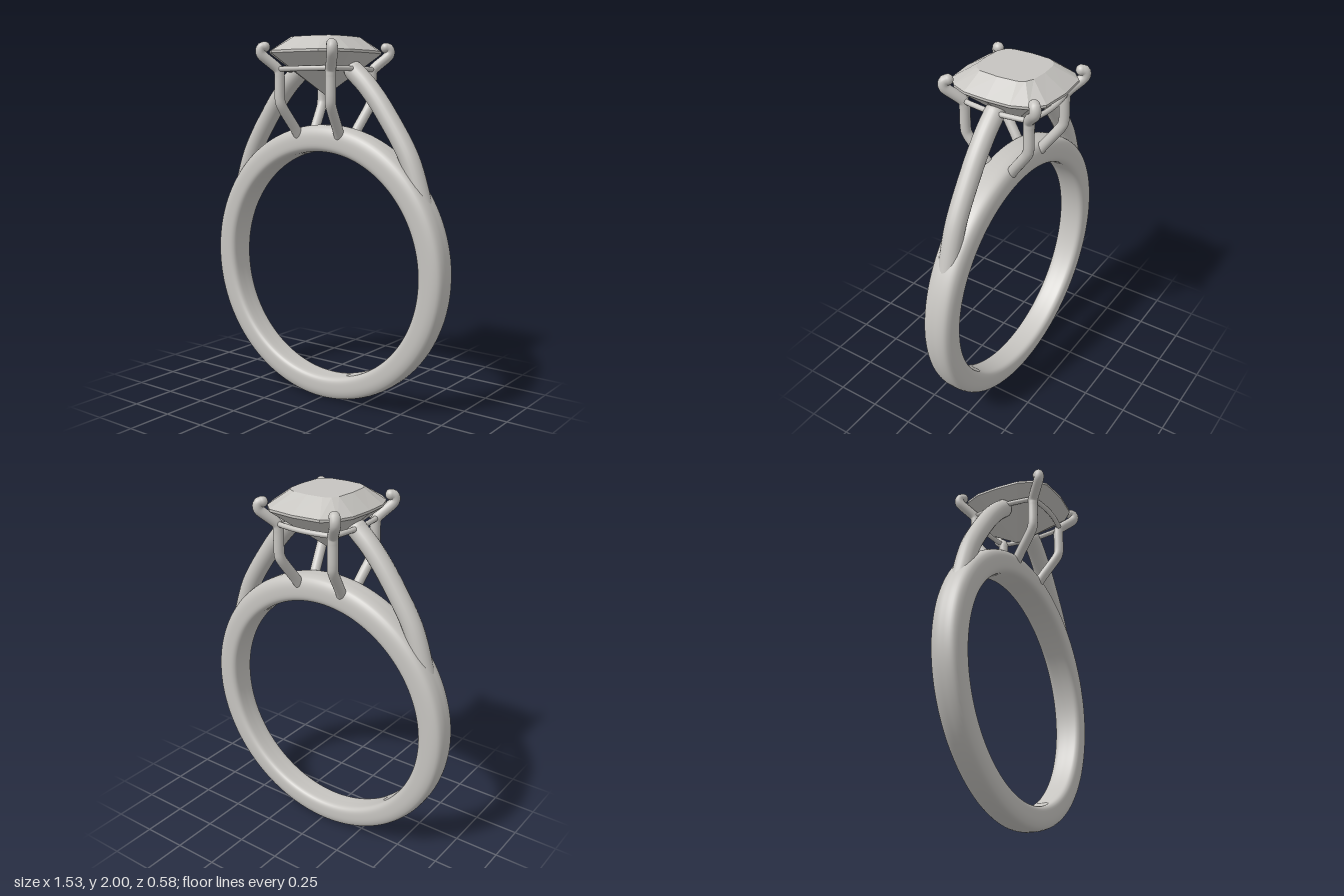
import * as THREE from 'three';

const silver = new THREE.MeshStandardMaterial({ color: 0xc6c4c0 });
silver.name = 'silver';
const V = (x, y, z) => new THREE.Vector3(x, y, z);

function add(parent, name, geometry) {
  const mesh = new THREE.Mesh(geometry, silver);
  mesh.name = name;
  parent.add(mesh);
  return mesh;
}

// Round rod along a spline, closed at both ends with spheres
function rod(parent, name, points, radius, tension) {
  const group = new THREE.Group();
  group.name = name;
  const curve = new THREE.CatmullRomCurve3(points, false, 'catmullrom', tension);
  add(group, name + 'Rod', new THREE.TubeGeometry(curve, 64, radius, 20));
  for (const p of [points[0], points[points.length - 1]]) {
    add(group, name + 'End', new THREE.SphereGeometry(radius, 20, 14)).position.copy(p);
  }
  parent.add(group);
}

// Comfort-fit band: a rounded section swept round, wider and thicker at the top
function bandGeometry() {
  const half = [[0.4, 0], [0.78, 0.03], [0.96, 0.16], [1, 0.4], [0.96, 0.68], [0.78, 0.9], [0.4, 0.99]];
  const section = new THREE.CatmullRomCurve3([
    V(0, 0, 0), ...half.map(([w, t]) => V(w, t, 0)),
    V(0, 1, 0), ...half.slice().reverse().map(([w, t]) => V(-w, t, 0)),
  ], true).getPoints(48).slice(0, -1);
  const m = section.length, n = 128, pos = [], idx = [];
  for (let i = 0; i < n; i++) {
    const a = (i / n) * Math.PI * 2, s = Math.sin(a);
    const width = 0.082 + 0.007 * s, thick = 0.137 + 0.007 * s;
    section.forEach((p, j) => {
      const r = 0.63 + p.y * thick;
      pos.push(r * Math.cos(a), 0.76 + r * s, p.x * width);
      const i2 = (i + 1) % n, j2 = (j + 1) % m;
      const A = i * m + j, B = i * m + j2, C = i2 * m + j, D = i2 * m + j2;
      idx.push(A, B, C, B, D, C);
    });
  }
  const g = new THREE.BufferGeometry();
  g.setAttribute('position', new THREE.Float32BufferAttribute(pos, 3));
  g.setIndex(idx);
  g.computeVertexNormals();
  return g;
}

// Mirror a quarter outline (from +x to +z) into a full loop
function fullLoop(q, y) {
  const r = q.slice().reverse();
  return [
    ...q, ...r.slice(1).map(([x, z]) => [-x, z]),
    ...q.slice(1).map(([x, z]) => [-x, -z]), ...r.slice(1, -1).map(([x, z]) => [x, -z]),
  ].map(([x, z]) => V(x, y, z));
}

// Faceted cushion-cut stone: pointed pavilion, thin girdle, crown and flat table
function gemGeometry() {
  const girdle = [[0.257, 0], [0.25, 0.13], [0.216, 0.214], [0.155, 0.272], [0, 0.287]];
  const table = [[0.156, 0], [0.148, 0.105], [0.128, 0.14], [0.088, 0.161], [0, 0.168]];
  const lower = fullLoop(girdle, 1.912), upper = fullLoop(girdle, 1.925), top = fullLoop(table, 2);
  const rings = [lower.map(() => V(0, 1.69, 0)), lower, upper, top, top.map(() => V(0, 2, 0))];
  const pts = [];
  const tri = (a, b, c) => {
    if (!a.equals(b) && !b.equals(c) && !c.equals(a)) pts.push(a, b, c);
  };
  for (let k = 0; k < rings.length - 1; k++) {
    const A = rings[k], B = rings[k + 1], n = A.length;
    for (let j = 0; j < n; j++) {
      const j2 = (j + 1) % n;
      tri(A[j], B[j], A[j2]);
      tri(B[j], B[j2], A[j2]);
    }
  }
  const g = new THREE.BufferGeometry().setFromPoints(pts);
  g.computeVertexNormals(); // unshared corners give flat facets
  return g;
}

export function createModel() {
  const ring = new THREE.Group();
  ring.name = 'ring';

  add(ring, 'band', bandGeometry());
  add(ring, 'gem', gemGeometry());

  // Arched shoulders rising from the band to the setting
  for (const s of [1, -1]) {
    rod(ring, s > 0 ? 'leftShoulder' : 'rightShoulder', [
      V(s * 0.635, 1.04, 0), V(s * 0.609, 1.15, 0), V(s * 0.53, 1.375, 0),
      V(s * 0.385, 1.6, 0), V(s * 0.275, 1.735, 0), V(s * 0.185, 1.818, 0),
    ], 0.053, 0.5);
  }

  // Four prongs gripping the corners of the stone
  for (const sx of [1, -1]) for (const sz of [1, -1]) {
    const name = (sz > 0 ? 'front' : 'back') + (sx > 0 ? 'Left' : 'Right') + 'Prong';
    rod(ring, name, [
      [0.138, 1.475, 0.065], [0.146, 1.52, 0.095], [0.165, 1.63, 0.174], [0.17, 1.68, 0.187],
      [0.17, 1.79, 0.187], [0.177, 1.832, 0.194], [0.229, 1.897, 0.252],
      [0.237, 1.922, 0.262], [0.233, 1.941, 0.258], [0.221, 1.946, 0.245],
    ].map(([x, y, z]) => V(sx * x, y, sz * z)), 0.028, 0.4);
  }

  // Thin rail bowing outward between the prongs
  const rail = new THREE.CatmullRomCurve3(
    fullLoop([[0.2, 0], [0.192, 0.1], [0.17, 0.187], [0.09, 0.21], [0, 0.217]], 1.83), true);
  add(ring, 'basketRail', new THREE.TubeGeometry(rail, 96, 0.014, 12, true));

  return ring;
}
